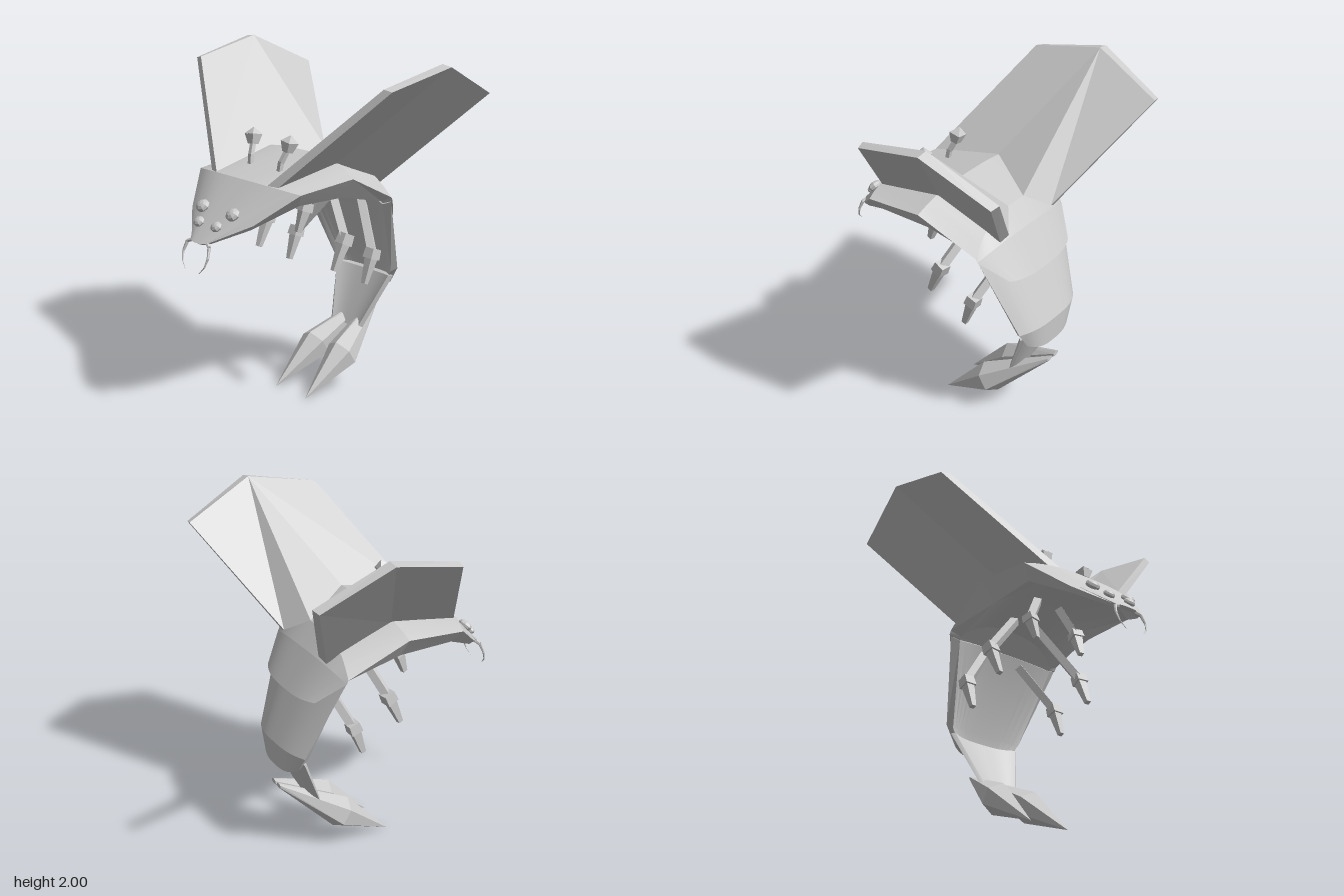
import * as THREE from 'three';
import { toCreasedNormals } from 'three/addons/utils/BufferGeometryUtils.js';
import { ConvexGeometry } from 'three/addons/geometries/ConvexGeometry.js';

const smooth = new THREE.MeshStandardMaterial({ color: 0xcccccc, side: THREE.DoubleSide });
const faceted = new THREE.MeshStandardMaterial({ color: 0xcccccc, flatShading: true, side: THREE.DoubleSide });

function add(parent, name, geometry, material = faceted) {
  const mesh = new THREE.Mesh(geometry, material);
  mesh.name = name;
  parent.add(mesh);
  return mesh;
}

// Arched shell plate. Station: outer crown [y,z], outer edge [x,y,z],
// inner crown [y,z], inner edge [x,y,z].
function plate(stations) {
  const N = 16, ring = 2 * N + 2, pos = [], idx = [];
  const arc = (crown, edge, u) => {
    const t = Math.abs(u) ** 3;
    pos.push(edge[0] * u, crown[0] + (edge[1] - crown[0]) * t, crown[1] + (edge[2] - crown[1]) * t);
  };
  for (const [c, e, ci, ei] of stations) {
    for (let k = 0; k <= N; k++) arc(c, e, (2 * k) / N - 1);
    for (let k = N; k >= 0; k--) arc(ci, ei, (2 * k) / N - 1);
  }
  const quad = (a, b, c, d) => idx.push(a, b, c, a, c, d);
  for (let j = 0; j < stations.length - 1; j++)
    for (let i = 0; i < ring; i++) {
      const n = (i + 1) % ring, a = j * ring, b = a + ring;
      quad(a + i, a + n, b + n, b + i);
    }
  const last = (stations.length - 1) * ring;
  for (let k = 0; k < N; k++) {
    const inner = ring - 1 - k;
    quad(k, inner, inner - 1, k + 1);
    quad(last + k, last + k + 1, last + inner - 1, last + inner);
  }
  const g = new THREE.BufferGeometry();
  g.setAttribute('position', new THREE.Float32BufferAttribute(pos, 3));
  g.setIndex(idx);
  return toCreasedNormals(g, 0.35);
}

// Tapered bar between two points
function strut(parent, name, a, b, ra, rb, sides = 4) {
  const A = new THREE.Vector3(...a), B = new THREE.Vector3(...b);
  const g = new THREE.CylinderGeometry(rb, ra, A.distanceTo(B), sides);
  g.rotateY(Math.PI / sides);
  const m = add(parent, name, g);
  m.position.copy(A).add(B).multiplyScalar(0.5);
  m.quaternion.setFromUnitVectors(new THREE.Vector3(0, 1, 0), B.sub(A).normalize());
}

// Faceted surface from corner points and polygon faces
function facets(points, faces) {
  const pos = [];
  for (const f of faces)
    for (let i = 1; i < f.length - 1; i++)
      for (const k of [f[0], f[i], f[i + 1]]) pos.push(...points[k]);
  const g = new THREE.BufferGeometry();
  g.setAttribute('position', new THREE.Float32BufferAttribute(pos, 3));
  g.computeVertexNormals();
  return g;
}

export function createModel() {
  const model = new THREE.Group();
  model.name = 'insect';

  // Shell plates from snout to tail
  const snout = [[1.055, 0.71], [0.09, 1.07, 0.67], [1.045, 0.69], [0.07, 1.055, 0.66]];
  const brow = [[1.21, 0.55], [0.265, 1.17, 0.53], [1.18, 0.53], [0.235, 1.14, 0.52]];
  const neck = [[1.36, 0.4], [0.43, 1.335, 0.34], [1.3, 0.36], [0.37, 1.26, 0.3]];
  const back = [[1.46, -0.04], [0.45, 1.37, -0.02], [1.38, -0.03], [0.36, 1.25, -0.02]];
  const rump = [[1.365, -0.34], [0.4, 1.2, -0.37], [1.29, -0.31], [0.34, 1.17, -0.35]];
  const rumpLow = [[1.25, -0.43], [0.4, 1.18, -0.38], [1.21, -0.39], [0.34, 1.16, -0.36]];
  const flap = [[1.035, -0.555], [0.28, 1.05, -0.51], [1.045, -0.54], [0.26, 1.06, -0.49]];
  const tailTop = [[1.2, -0.42], [0.39, 1.17, -0.38], [1.18, -0.39], [0.34, 1.15, -0.36]];
  const tailLow = [[0.72, -0.63], [0.265, 0.71, -0.57], [0.72, -0.595], [0.24, 0.69, -0.54]];
  const tailEnd = [[0.57, -0.625], [0.2, 0.61, -0.58], [0.58, -0.61], [0.18, 0.62, -0.57]];
  const stemTop = [[0.66, -0.59], [0.24, 0.66, -0.56], [0.65, -0.57], [0.22, 0.66, -0.54]];
  const stemEnd = [[0.32, -0.44], [0.13, 0.33, -0.41], [0.33, -0.415], [0.11, 0.34, -0.4]];
  add(model, 'headPlate', plate([snout, brow, neck]), smooth);
  add(model, 'backPlate', plate([neck, back]), smooth);
  add(model, 'rumpPlate', plate([back, rump, rumpLow]), smooth);
  add(model, 'rumpFlap', plate([rumpLow, flap]), smooth);
  add(model, 'tailPlate', plate([tailTop, tailLow, tailEnd]), smooth);
  add(model, 'tailStem', plate([stemTop, stemEnd]), smooth);

  for (const s of [1, -1]) {
    const side = new THREE.Group();
    side.name = s > 0 ? 'leftParts' : 'rightParts';
    model.add(side);
    const at = (x, y, z) => [s * x, y, z];

    // Wing: inner corners 0-6, outer corners 7-12
    const wing = [
      at(0.22, 1.36, 0.39), at(0.76, 1.91, 0.07), at(0.775, 2, -0.35), at(0.72, 1.81, -0.75),
      at(0.2, 1.28, -0.44), at(0.07, 1.365, -0.34), at(0.25, 1.45, -0.04),
      at(0.27, 1.34, 0.38), at(0.81, 1.9, 0.06), at(0.84, 1.99, -0.35), at(0.775, 1.8, -0.74),
      at(0.25, 1.25, -0.42), at(0.29, 1.42, -0.04),
    ];
    add(side, 'wing', facets(wing, [
      [0, 1, 2, 6], [6, 2, 5], [5, 2, 4], [4, 2, 3],
      [7, 12, 9, 8], [12, 11, 10, 9],
      [0, 7, 8, 1], [1, 8, 9, 2], [2, 9, 10, 3], [3, 10, 11, 4],
    ]));

    // Pincer: small root, hexagonal waist, sharp tip
    const claw = [at(0.13, 0.005, 0.04)];
    for (let i = 0; i < 6; i++) {
      const a = (i / 6) * Math.PI * 2 + Math.PI / 6, c = Math.cos(a), n = Math.sin(a);
      claw.push(at(0.115 + 0.1 * c, 0.21 + 0.08 * n, -0.27 + 0.05 * n));
      claw.push(at(0.03 + 0.025 * c, 0.445 + 0.015 * n, -0.62));
    }
    add(side, 'tailClaw', new ConvexGeometry(claw.map((p) => new THREE.Vector3(...p))));

    // Three legs: thigh, knee block, tapering shin
    const legs = [
      [at(0.08, 1.34, 0.03), at(0.17, 1.18, 0.075), at(0.165, 1.04, 0.125)],
      [at(0.08, 1.29, -0.18), at(0.33, 1.0, -0.08), at(0.325, 0.825, 0)],
      [at(0.13, 1.13, -0.4), at(0.325, 0.87, -0.3), at(0.325, 0.7, -0.24)],
    ];
    for (const [hip, knee, foot] of legs) {
      const leg = new THREE.Group();
      leg.name = 'leg';
      side.add(leg);
      const along = (t) => knee.map((v, i) => v + (foot[i] - v) * t);
      strut(leg, 'thigh', hip, knee, 0.032, 0.032);
      strut(leg, 'knee', along(-0.15), along(0.18), 0.045, 0.05);
      strut(leg, 'shin', along(0.18), foot, 0.037, 0.02);
    }

    // Antenna: bent stalk with a pointed knob
    strut(side, 'antennaStem', at(0.122, 1.38, 0.225), at(0.128, 1.45, 0.215), 0.017, 0.017);
    strut(side, 'antennaStem', at(0.127, 1.44, 0.217), at(0.148, 1.52, 0.18), 0.017, 0.017);
    strut(side, 'antennaKnob', at(0.146, 1.5, 0.185), at(0.153, 1.555, 0.175), 0.03, 0.05);
    strut(side, 'antennaCap', at(0.153, 1.555, 0.175), at(0.157, 1.59, 0.168), 0.05, 0.006);

    // Eyes: low domes lying on the head
    for (const [x, y, z, r] of [[0.13, 1.21, 0.56, 0.045], [0.075, 1.145, 0.63, 0.036]]) {
      const eye = add(side, 'eye', new THREE.SphereGeometry(r, 8, 6));
      eye.position.set(s * x, y, z);
      eye.scale.set(1, 0.6, 0.9);
      eye.rotation.x = 0.75;
    }

    // Hooked mandible
    const hook = [at(0.06, 1.06, 0.68), at(0.095, 1.045, 0.695), at(0.108, 0.99, 0.715),
      at(0.095, 0.94, 0.73), at(0.058, 0.9, 0.74)];
    for (let i = 0; i < 4; i++)
      strut(side, 'mandible', hook[i], hook[i + 1], 0.013 - 0.003 * i, 0.01 - 0.003 * i, 6);
  }
  return model;
}
